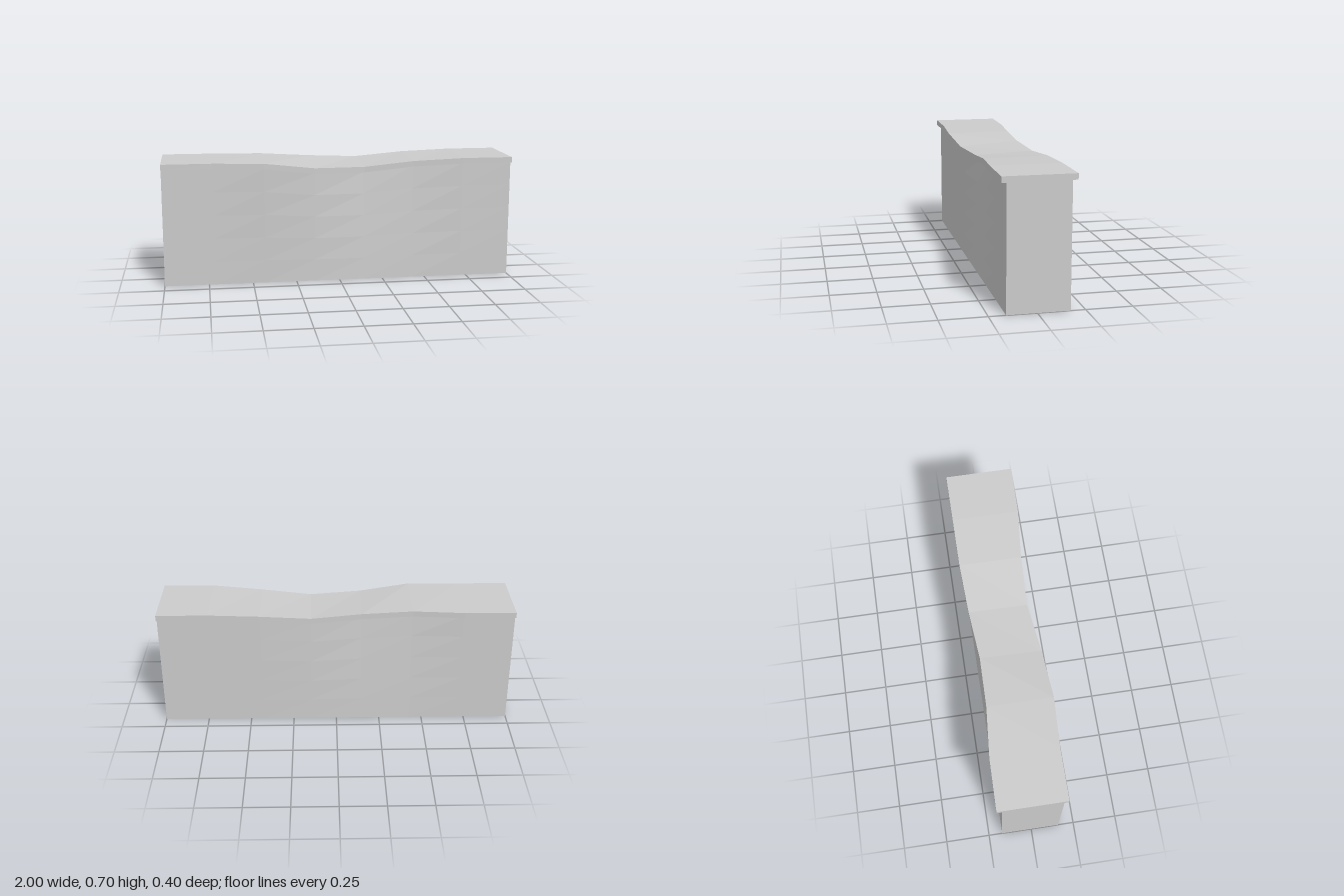
import * as THREE from 'three';

const ROWS = 5;      // height divisions of the wall
const LIP = 0.025;   // overhang of the coping
const THICK = 0.032; // thickness of the coping

// One station per column: [front coping z, front top y, back coping z, back top y]
const stations = [
  [0.185, 0.70, -0.20, 0.70],
  [0.185, 0.70, -0.195, 0.70],
  [0.20, 0.695, -0.17, 0.70],
  [0.18, 0.66, -0.165, 0.683],
  [0.145, 0.656, -0.188, 0.668],
  [0.155, 0.685, -0.20, 0.69],
  [0.182, 0.70, -0.20, 0.70],
  [0.185, 0.70, -0.20, 0.70],
];
const columnX = (j) => -1 + (2 * j) / (stations.length - 1);

// Skin a list of equal-length cross-sections of [x, y, z] points
function skin(sections) {
  const pos = [];
  for (let j = 0; j < sections.length - 1; j++) {
    for (let i = 0; i < sections[j].length - 1; i++) {
      const a = sections[j][i], b = sections[j + 1][i];
      const c = sections[j + 1][i + 1], d = sections[j][i + 1];
      pos.push(...a, ...b, ...c, ...a, ...c, ...d);
    }
  }
  const geometry = new THREE.BufferGeometry();
  geometry.setAttribute('position', new THREE.Float32BufferAttribute(pos, 3));
  geometry.computeVertexNormals();
  return geometry;
}

// Wall column: straight at the foot, drifting towards the coping higher up
function wallSection(j, front) {
  const [fz, fy, bz, by] = stations[j];
  const foot = front ? 0.16 : -0.172;
  const head = front ? fz - LIP : bz + LIP + 0.003;
  const height = (front ? fy : by) - THICK;
  const points = [];
  for (let r = 0; r <= ROWS; r++) {
    const t = r / ROWS;
    points.push([columnX(j), height * t, foot + (head - foot) * Math.pow(t, 1.3)]);
  }
  return front ? points : points.reverse();
}

// Coping outline: under the front lip, over the top, under the back lip
function copingSection(j) {
  const [fz, fy, bz, by] = stations[j];
  const x = columnX(j);
  return [
    [x, fy - THICK, fz - LIP], [x, fy - THICK, fz], [x, fy, fz],
    [x, by, bz], [x, by - THICK, bz], [x, by - THICK, bz + LIP + 0.003],
  ];
}

// Flat end panel between two heights
function endPanel(side, y0, y1, z0, z1) {
  const x = side;
  const low = [[x, y0, z0], [x, y1, z0]];
  const high = [[x, y0, z1], [x, y1, z1]];
  return skin(side > 0 ? [high, low] : [low, high]);
}

export function createModel() {
  const group = new THREE.Group();
  const material = new THREE.MeshStandardMaterial({
    color: 0xcccccc, flatShading: true, side: THREE.DoubleSide,
  });
  const add = (name, geometry) => {
    const mesh = new THREE.Mesh(geometry, material);
    mesh.name = name;
    group.add(mesh);
  };

  // Warped long faces, open at the bottom
  add('frontWall', skin(stations.map((_, j) => wallSection(j, true))));
  add('backWall', skin(stations.map((_, j) => wallSection(j, false))));

  // Sagging coping with overhanging lips
  add('coping', skin(stations.map((_, j) => copingSection(j))));

  // Ends of wall and coping
  for (const side of [-1, 1]) {
    const [fz, fy, bz] = stations[side < 0 ? 0 : stations.length - 1];
    const label = side > 0 ? 'left' : 'right';
    add(label + 'WallEnd', endPanel(side, 0, fy - THICK, -0.172, 0.16));
    add(label + 'CopingEnd', endPanel(side, fy - THICK, fy, bz, fz));
  }
  return group;
}
